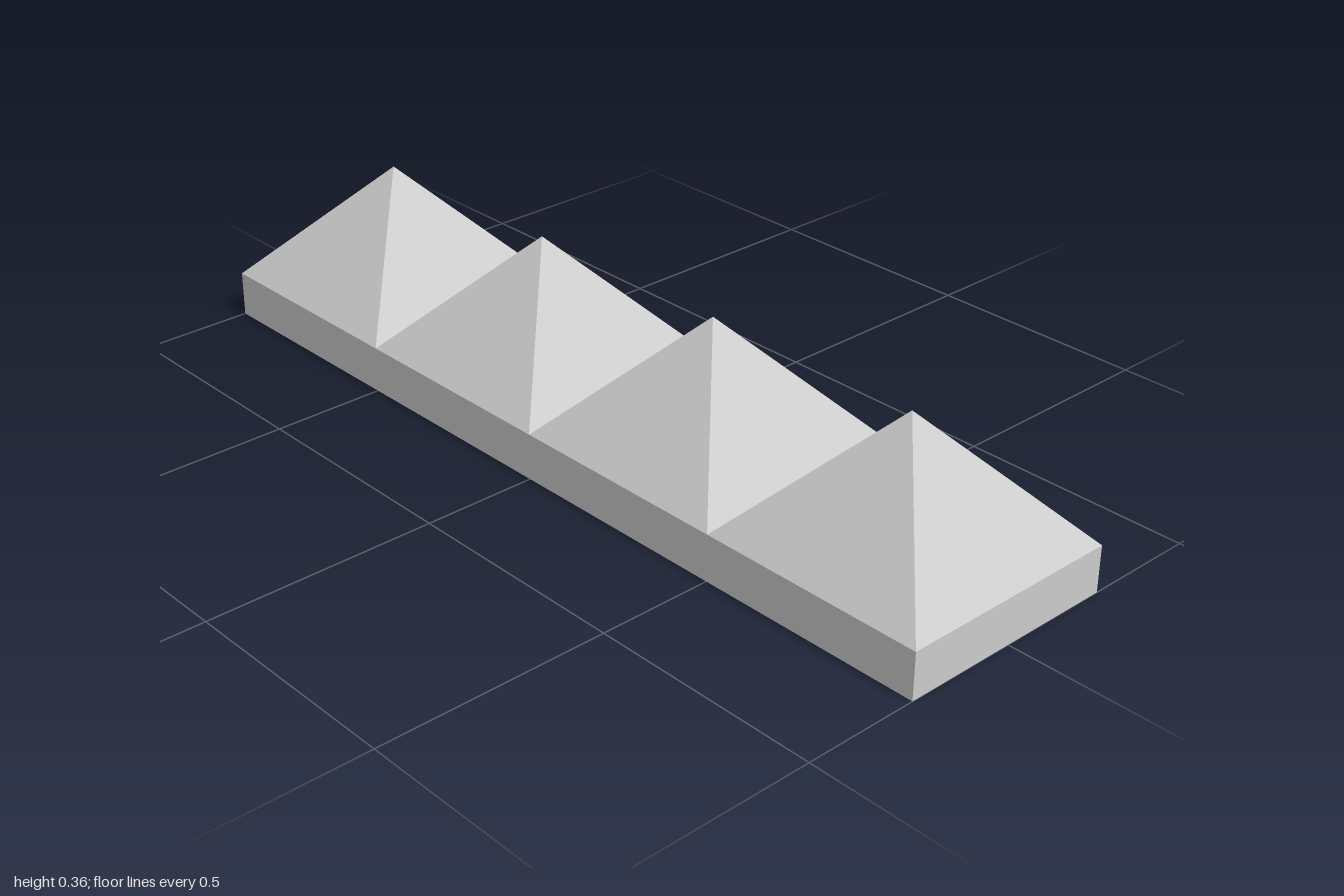
import * as THREE from 'three';

const WIDTH = 2, DEPTH = 0.5, BASE_HEIGHT = 0.1;
const COUNT = 4, PEAK_HEIGHT = 0.265;

export function createModel() {
  const group = new THREE.Group();
  group.name = 'pyramidStrip';
  const material = new THREE.MeshStandardMaterial({ color: 0xcccccc, flatShading: true });

  // Flat rectangular base
  const base = new THREE.Mesh(new THREE.BoxGeometry(WIDTH, BASE_HEIGHT, DEPTH), material);
  base.name = 'base';
  base.position.y = BASE_HEIGHT / 2;
  group.add(base);

  // Row of square pyramids: a four-sided cone turned so its edges line up with the base
  const side = WIDTH / COUNT;
  const pyramid = new THREE.ConeGeometry(side / Math.SQRT2, PEAK_HEIGHT, 4, 1, true);
  pyramid.rotateY(Math.PI / 4);
  pyramid.translate(0, BASE_HEIGHT + PEAK_HEIGHT / 2, 0);

  for (let i = 0; i < COUNT; i++) {
    const peak = new THREE.Mesh(pyramid, material);
    peak.name = `pyramid${i + 1}`;
    peak.position.x = -WIDTH / 2 + side * (i + 0.5);
    group.add(peak);
  }

  return group;
}
